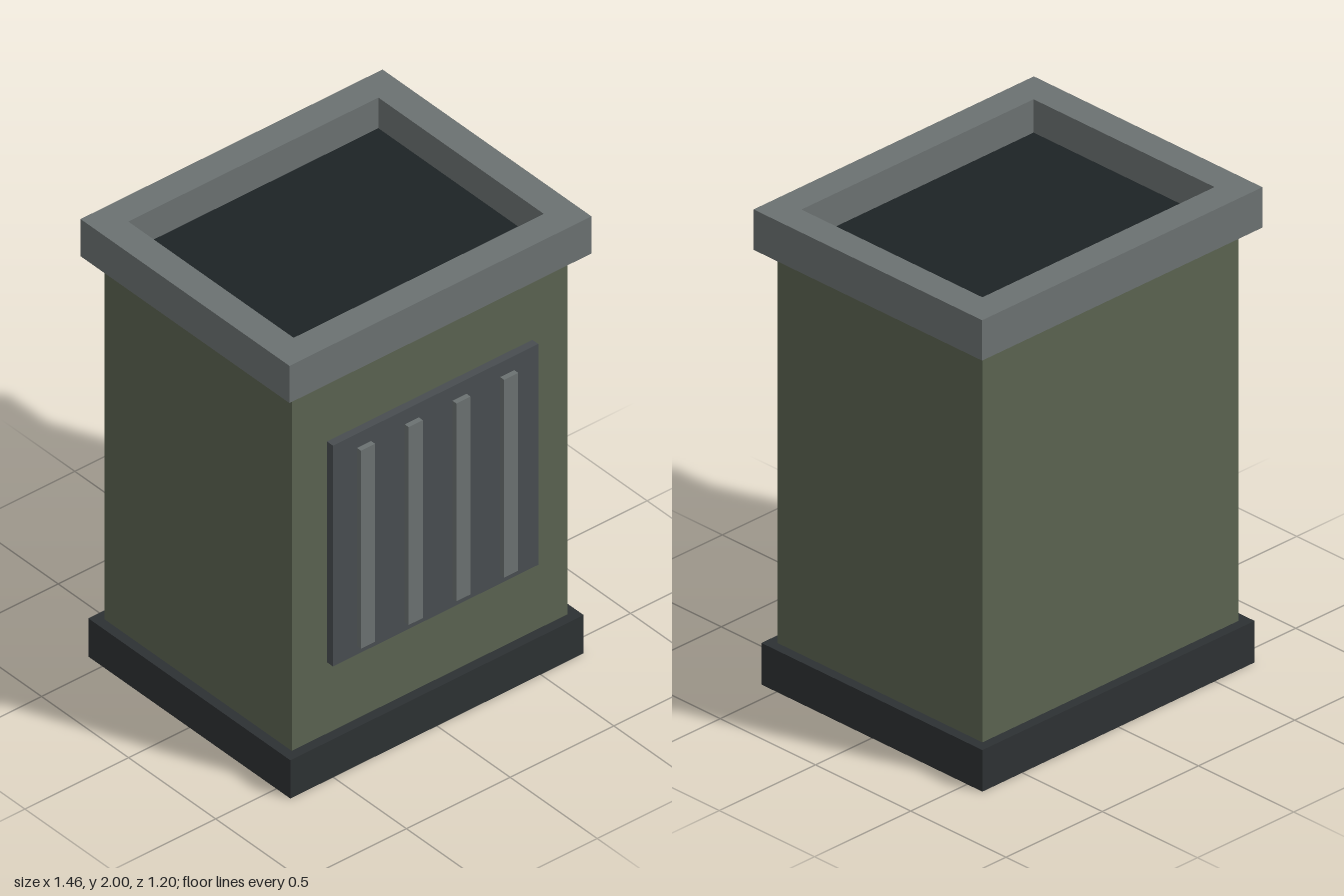
import * as THREE from 'three';

const material = (color) => new THREE.MeshStandardMaterial({ color, flatShading: true });
const green = material(0x5a6350);
const steel = material(0x6b7171);
const plateGrey = material(0x484d50);
const baseGrey = material(0x2d3133);
const dark = material(0x1d2325);

export function createModel() {
  const model = new THREE.Group();
  model.name = 'litterBin';

  // Box given by its size, bottom height and horizontal centre
  const box = (name, mat, w, h, d, bottom, x = 0, z = 0) => {
    const mesh = new THREE.Mesh(new THREE.BoxGeometry(w, h, d), mat);
    mesh.name = name;
    mesh.position.set(x, bottom + h / 2, z);
    model.add(mesh);
  };

  box('base', baseGrey, 1.414, 0.175, 1.16, 0);
  box('body', green, 1.33, 1.655, 1.076, 0.175);

  // Dark floor seen through the opening
  box('openingFloor', dark, 1.21, 0.03, 0.95, 1.83);

  // Rectangular rim with an open middle
  const rectangle = (target, w, d) => {
    target.moveTo(-w / 2, -d / 2).lineTo(w / 2, -d / 2);
    target.lineTo(w / 2, d / 2).lineTo(-w / 2, d / 2).closePath();
    return target;
  };
  const outline = rectangle(new THREE.Shape(), 1.456, 1.2);
  outline.holes.push(rectangle(new THREE.Path(), 1.206, 0.95));
  const rimGeometry = new THREE.ExtrudeGeometry(outline, { depth: 0.17, bevelEnabled: false });
  rimGeometry.rotateX(-Math.PI / 2);
  const rim = new THREE.Mesh(rimGeometry, steel);
  rim.name = 'rim';
  rim.position.y = 1.83;
  model.add(rim);

  // Front panel with four upright slats
  box('frontPanel', plateGrey, 0.99, 1.01, 0.034, 0.5, 0, 0.555);
  for (let i = 0; i < 4; i++) {
    box(`slat${i + 1}`, steel, 0.068, 0.905, 0.03, 0.54, (i - 1.5) * 0.23, 0.58);
  }

  return model;
}
